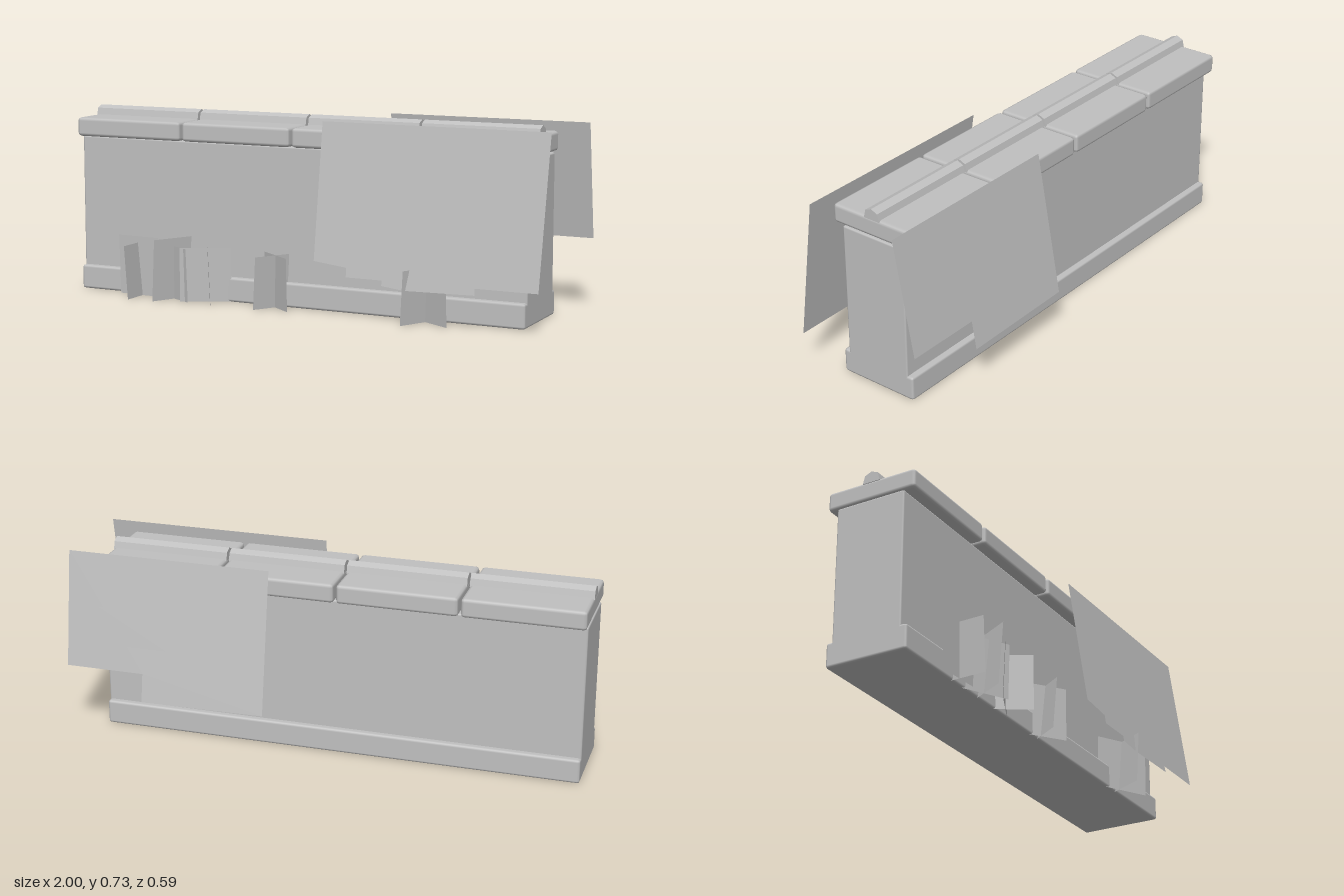
import * as THREE from 'three';
import { RoundedBoxGeometry } from 'three/addons/geometries/RoundedBoxGeometry.js';

export function createModel() {
  const model = new THREE.Group();
  model.name = 'overgrownWall';
  const stone = new THREE.MeshStandardMaterial({ color: 0xc0c0c0, side: THREE.DoubleSide });
  stone.name = 'pale grey';

  const add = (name, geometry) => {
    const mesh = new THREE.Mesh(geometry, stone);
    mesh.name = name;
    model.add(mesh);
    return mesh;
  };

  // Chamfered block given by its limits
  const block = (name, [x0, x1], [y0, y1], [z0, z1], bevel) => {
    const geometry = new RoundedBoxGeometry(x1 - x0, y1 - y0, z1 - z0, 1, bevel);
    geometry.translate((x0 + x1) / 2, (y0 + y1) / 2, (z0 + z1) / 2);
    add(name, geometry);
  };

  block('wallBody', [-1, 0.885], [0.06, 0.615], [-0.147, 0.133], 0.007);
  block('wallBase', [-1, 0.885], [0, 0.095], [-0.171, 0.157], 0.01);

  // Coping stones, each with a faceted ridge along the top
  const ridge = new THREE.Shape([
    [-0.028, 0.685], [0.042, 0.685], [0.034, 0.716], [0.007, 0.728], [-0.02, 0.717],
  ].map(([u, y]) => new THREE.Vector2(u, y)));
  [[-1, -0.535], [-0.525, -0.06], [-0.05, 0.41], [0.42, 0.885]].forEach(([x0, x1]) => {
    block('copingStone', [x0, x1], [0.617, 0.691], [-0.189, 0.175], 0.013);
    const geometry = new THREE.ExtrudeGeometry(ridge, { depth: x1 - x0, bevelEnabled: false });
    geometry.rotateY(Math.PI / 2);
    geometry.translate(x0, 0, 0);
    add('copingRidge', geometry);
  });

  // Hanging ivy sheet: flat outline whose lower part swings away from the wall
  const ivy = (name, outline, side, zTop, slope) => {
    const geometry = new THREE.ShapeGeometry(
      new THREE.Shape(outline.map(([x, y]) => new THREE.Vector2(x * side, y))));
    if (side < 0) geometry.rotateY(Math.PI);
    const p = geometry.attributes.position;
    for (let i = 0; i < p.count; i++) p.setZ(i, side * (zTop + (0.725 - p.getY(i)) * slope));
    geometry.computeVertexNormals();
    add(name, geometry);
  };
  ivy('frontIvy', [
    [0.09, 0.725], [0.09, 0.21], [0.225, 0.195], [0.225, 0.16], [0.37, 0.16], [0.37, 0.14],
    [0.46, 0.13], [0.735, 0.135], [0.735, 0.16], [0.975, 0.16], [0.985, 0.725],
  ], 1, 0.187, 0.148);
  ivy('frontIvyPatch', [
    [0.39, 0.51], [0.39, 0.39], [0.505, 0.39], [0.505, 0.335], [0.79, 0.335], [0.79, 0.41],
  ], 1, 0.19, 0.148);
  ivy('backIvy', [
    [0.195, 0.725], [0.195, 0.175], [0.685, 0.17], [0.685, 0.28], [0.995, 0.28], [1, 0.725],
  ], -1, 0.203, 0.18);
  ivy('backIvyPatch', [
    [0.29, 0.51], [0.29, 0.36], [0.59, 0.36], [0.59, 0.38], [0.87, 0.38], [0.87, 0.52],
  ], -1, 0.206, 0.18);

  // Grass cards: foot line from a to b, height, and sideways lean of the top
  const grass = (a, b, height, lean) => {
    const length = Math.hypot(b[0] - a[0], b[1] - a[1]);
    const geometry = new THREE.PlaneGeometry(length, height);
    geometry.translate(0, height / 2, 0);
    const p = geometry.attributes.position;
    for (let i = 0; i < p.count; i++) if (p.getY(i) > 0.01) p.setZ(i, lean);
    geometry.computeVertexNormals();
    geometry.rotateY(-Math.atan2(b[1] - a[1], b[0] - a[0]));
    geometry.translate((a[0] + b[0]) / 2, 0, (a[1] + b[1]) / 2);
    add('grassBlade', geometry);
  };
  [
    [[-0.805, 0.178], [-0.62, 0.188], 0.235, 0.008],
    [[-0.7, 0.1], [-0.705, 0.29], 0.21, 0.015],
    [[-0.6, 0.28], [-0.52, 0.13], 0.243, 0.018],
    [[-0.63, 0.15], [-0.465, 0.24], 0.21, 0.008],
    [[-0.5, 0.238], [-0.32, 0.15], 0.213, 0.008],
    [[-0.43, 0.13], [-0.345, 0.275], 0.21, 0.008],
    [[-0.17, 0.257], [-0.09, 0.13], 0.205, 0.018],
    [[-0.195, 0.12], [-0.035, 0.237], 0.205, 0.005],
    [[0.45, 0.285], [0.53, 0.13], 0.205, 0.015],
    [[0.42, 0.13], [0.615, 0.24], 0.205, 0.006],
  ].forEach((card) => grass(...card));

  return model;
}
